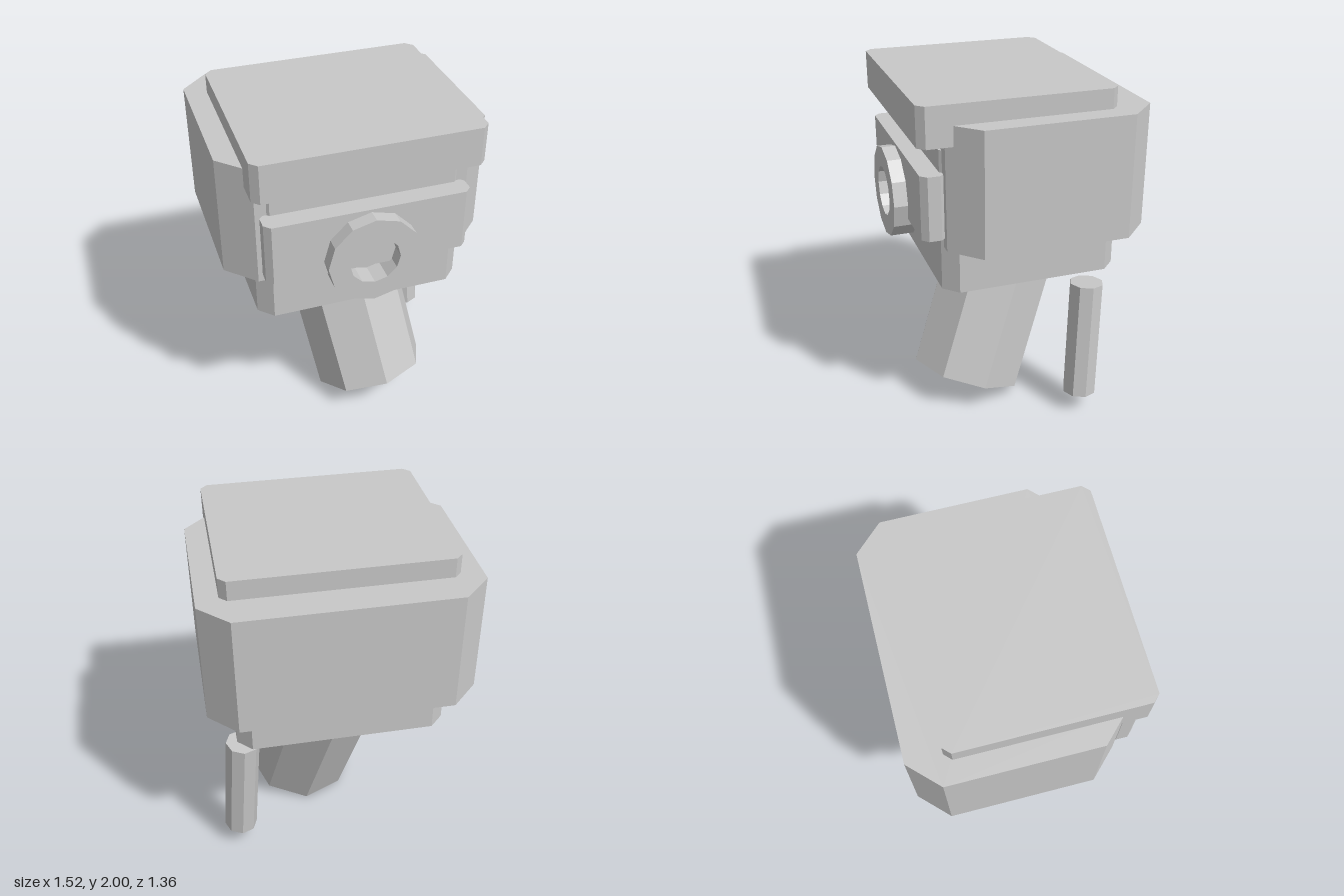
import * as THREE from 'three';

export function createModel() {
  const model = new THREE.Group();
  const grey = new THREE.MeshStandardMaterial({ color: 0xc8c8c8 });

  const add = (name, geometry) => {
    const mesh = new THREE.Mesh(geometry, grey);
    mesh.name = name;
    model.add(mesh);
    return mesh;
  };

  // Upright block centred on x with its four vertical edges cut at 45 degrees
  const chamferedBlock = (name, halfWidth, y0, y1, zBack, zFront, cut) => {
    const w = halfWidth, a = -zFront, b = -zBack; // shape y becomes -z
    const outline = new THREE.Shape([
      [-w + cut, a], [w - cut, a], [w, a + cut], [w, b - cut],
      [w - cut, b], [-w + cut, b], [-w, b - cut], [-w, a + cut],
    ].map(([x, y]) => new THREE.Vector2(x, y)));
    const geometry = new THREE.ExtrudeGeometry(outline, { depth: y1 - y0, bevelEnabled: false });
    geometry.rotateX(-Math.PI / 2).translate(0, y0, 0);
    return add(name, geometry);
  };

  chamferedBlock('core', 0.605, 0.917, 1.728, -0.541, 0.488, 0.08);
  chamferedBlock('outerShell', 0.762, 1.177, 1.887, -0.68, 0.475, 0.16);
  chamferedBlock('cap', 0.639, 1.776, 2, -0.483, 0.623, 0.04);
  chamferedBlock('frontPanel', 0.581, 1.238, 1.605, 0.46, 0.6, 0.035);

  // Twelve-sided ring in front of the panel
  const polygon = (radius, sides) => Array.from({ length: sides }, (_, i) => {
    const t = (i / sides) * Math.PI * 2;
    return new THREE.Vector2(Math.cos(t) * radius, Math.sin(t) * radius);
  });
  const ringShape = new THREE.Shape(polygon(0.265, 12));
  ringShape.holes.push(new THREE.Path(polygon(0.145, 12)));
  const ring = add('frontRing', new THREE.ExtrudeGeometry(ringShape, { depth: 0.133, bevelEnabled: false }));
  ring.position.set(0, 1.324, 0.546);

  // Eight-sided post, placed by the centre of its lower end
  const post = (name, radius, length, base, tiltX, tiltZ) => {
    const geometry = new THREE.CylinderGeometry(radius, radius, length, 8).translate(0, length / 2, 0).toNonIndexed();
    geometry.computeVertexNormals(); // faceted sides
    const mesh = add(name, geometry);
    mesh.position.set(...base);
    mesh.rotation.set(tiltX, 0, tiltZ);
  };
  post('neck', 0.344, 1.1, [0.148, 0.117, 0.245], -0.35, 0.15);
  post('sidePost', 0.1, 0.712, [0.615, 0.12, -0.33], -0.055, 0.066);

  return model;
}
